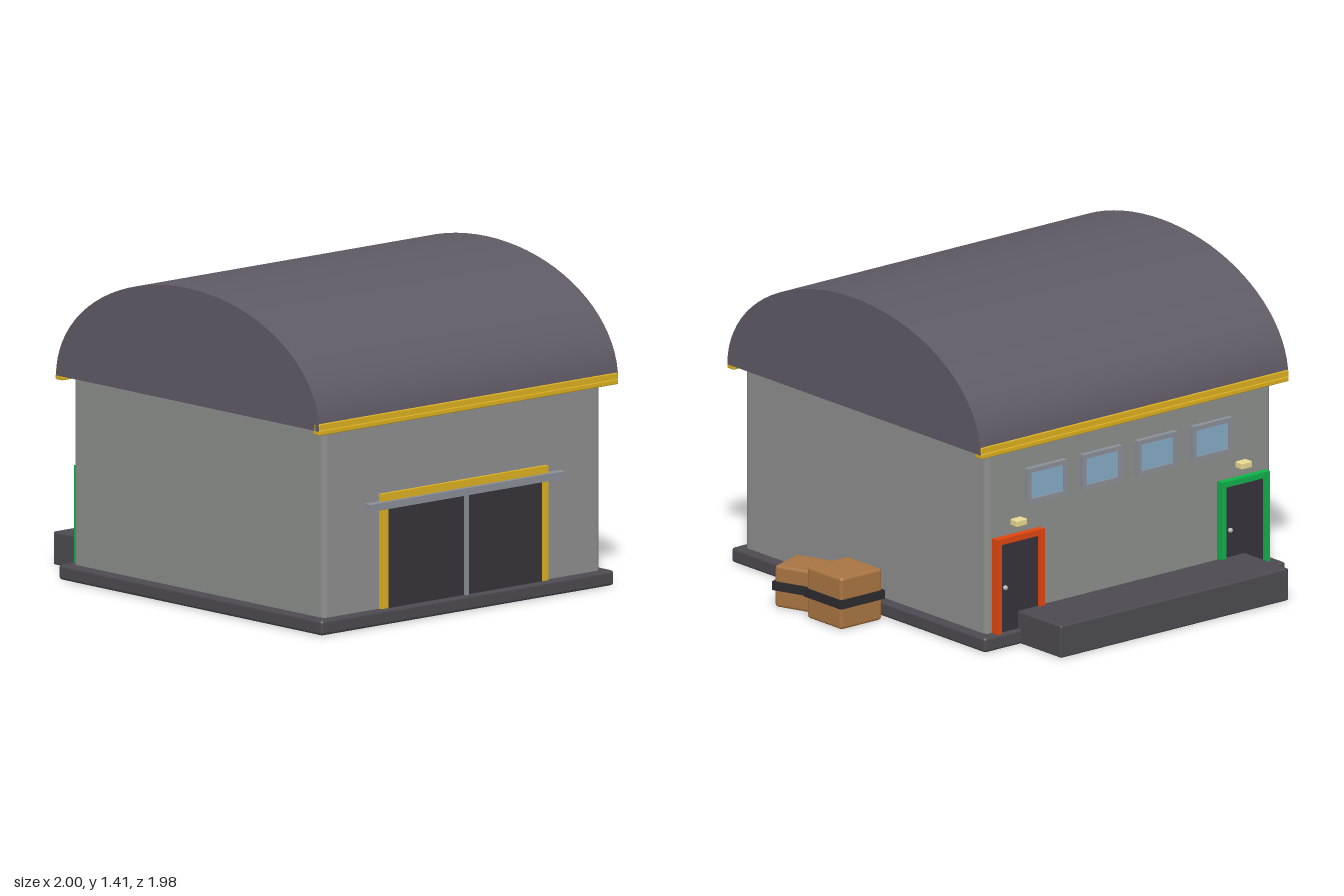
import * as THREE from 'three';
import { RoundedBoxGeometry } from 'three/addons/geometries/RoundedBoxGeometry.js';

const mat = (color, side = THREE.FrontSide) => new THREE.MeshStandardMaterial({ color, side });
const M = {
  wall: mat(0x8c8e8c), roof: mat(0x5f5964), slab: mat(0x4c4a50), dark: mat(0x36323a),
  yellow: mat(0xdcb020), steel: mat(0x8a8e96), glass: mat(0x84aac4), orange: mat(0xe0450f),
  green: mat(0x10b04a), cream: mat(0xe8d890), knob: mat(0xb8b8b8),
  crate: mat(0xa87442), strap: mat(0x2c2a2e),
};

// Box given by its min/max on each axis; r > 0 rounds the edges
function block(parent, name, material, [x0, x1], [y0, y1], [z0, z1], r = 0) {
  const size = [x1 - x0, y1 - y0, z1 - z0];
  const geo = r ? new RoundedBoxGeometry(...size, 3, r) : new THREE.BoxGeometry(...size);
  const mesh = new THREE.Mesh(geo, material);
  mesh.name = name;
  mesh.position.set((x0 + x1) / 2, (y0 + y1) / 2, (z0 + z1) / 2);
  parent.add(mesh);
  return mesh;
}

function group(parent, name, x = 0, y = 0, z = 0) {
  const g = new THREE.Group();
  g.name = name;
  g.position.set(x, y, z);
  parent.add(g);
  return g;
}

// Half-elliptical barrel roof with closed ends and underside
function addRoof(parent) {
  const roof = group(parent, 'roof', -0.1275, 0.905, 0.1325);
  const vault = new THREE.CylinderGeometry(1, 1, 1.745, 40, 1, false, 0, Math.PI);
  vault.rotateZ(Math.PI / 2).scale(1, 0.51, 0.8525);
  const shell = new THREE.Mesh(vault, M.roof);
  shell.name = 'roofVault';
  const under = new THREE.Mesh(new THREE.PlaneGeometry(1.745, 1.705).rotateX(Math.PI / 2), M.roof);
  under.name = 'roofUnderside';
  roof.add(shell, under);
}

// Sliding double door with yellow frame and overhead rail
function addFrontDoor(parent) {
  const g = group(parent, 'frontDoor', -0.13);
  for (const s of [-1, 1]) {
    const span = (a, b) => (s > 0 ? [a, b] : [-b, -a]);
    block(g, 'doorJamb', M.yellow, span(0.445, 0.487), [0.065, 0.575], [0.94, 0.964]);
    block(g, 'doorPanel', M.dark, span(0.0, 0.446), [0.068, 0.525], [0.94, 0.968]);
  }
  block(g, 'doorHeader', M.yellow, [-0.487, 0.487], [0.535, 0.575], [0.94, 0.965]);
  block(g, 'doorSeam', M.steel, [-0.01, 0.01], [0.068, 0.52], [0.95, 0.978]);
  block(g, 'doorRail', M.steel, [-0.57, 0.57], [0.51, 0.542], [0.945, 0.985]);
}

// Back door with a coloured frame, knob and lamp above
function addBackDoor(parent, x, frame) {
  const g = group(parent, 'backDoor', x, 0, -0.68);
  block(g, 'doorLeaf', M.dark, [-0.115, 0.115], [0.065, 0.48], [-0.02, 0.01]);
  for (const s of [-1, 1]) {
    block(g, 'frameSide', frame, [s * 0.122 - 0.013, s * 0.122 + 0.013], [0.065, 0.495], [-0.034, 0.01]);
  }
  block(g, 'frameTop', frame, [-0.135, 0.135], [0.47, 0.496], [-0.034, 0.01]);
  const knob = new THREE.Mesh(new THREE.SphereGeometry(0.011, 12, 8), M.knob);
  knob.name = 'doorKnob';
  knob.position.set(0.085, 0.27, -0.03);
  g.add(knob);
  block(g, 'doorLamp', M.cream, [-0.03, 0.03], [0.535, 0.565], [-0.042, 0.005], 0.005);
}

function addWindow(parent, x) {
  const g = group(parent, 'backWindow', x, 0.7, -0.68);
  block(g, 'windowPane', M.glass, [-0.095, 0.095], [-0.068, 0.068], [-0.016, 0.01]);
  for (const s of [-1, 1]) {
    block(g, 'windowSide', M.steel, [s * 0.102 - 0.01, s * 0.102 + 0.01], [-0.08, 0.08], [-0.024, 0.01]);
    block(g, 'windowEdge', M.steel, [-0.112, 0.112], [s * 0.07 - 0.01, s * 0.07 + 0.01], [-0.024, 0.01]);
  }
}

// Rounded crate with a dark strap around it
function addCrate(parent, x, z, w, h, turn, strapY) {
  const g = group(parent, 'crate', x, 0, z);
  g.rotation.y = turn;
  const a = w / 2, b = a + 0.008;
  block(g, 'crateBody', M.crate, [-a, a], [0, h], [-a, a], 0.014);
  block(g, 'crateStrap', M.strap, [-b, b], [strapY - 0.02, strapY + 0.02], [-b, b]);
}

export function createModel() {
  const model = new THREE.Group();
  model.name = 'warehouse';

  block(model, 'foundation', M.slab, [-0.985, 0.722], [0, 0.067], [-0.722, 0.987], 0.014);
  block(model, 'walls', M.wall, [-0.937, 0.678], [0.03, 0.906], [-0.68, 0.947], 0.025);
  block(model, 'loadingDock', M.slab, [-0.775, 0.515], [0, 0.146], [-0.99, -0.69], 0.008);
  addRoof(model);

  // Gutters along both eaves
  for (const [z0, z1] of [[0.945, 0.991], [-0.726, -0.68]]) {
    block(model, 'gutter', M.yellow, [-1, 0.743], [0.887, 0.91], [z0, z1], 0.005);
    block(model, 'gutterLip', M.yellow, [-1, 0.743], [0.9, 0.938], [z0 + 0.003, z1 - 0.003], 0.005);
  }

  addFrontDoor(model);
  addBackDoor(model, 0.51, M.orange);
  addBackDoor(model, -0.765, M.green);
  for (let i = 0; i < 4; i++) addWindow(model, 0.35 - i * 0.312);

  addCrate(model, 0.87, 0.047, 0.232, 0.235, 0, 0.117);
  addCrate(model, 0.87, 0.317, 0.19, 0.19, THREE.MathUtils.degToRad(20), 0.098);
  return model;
}
